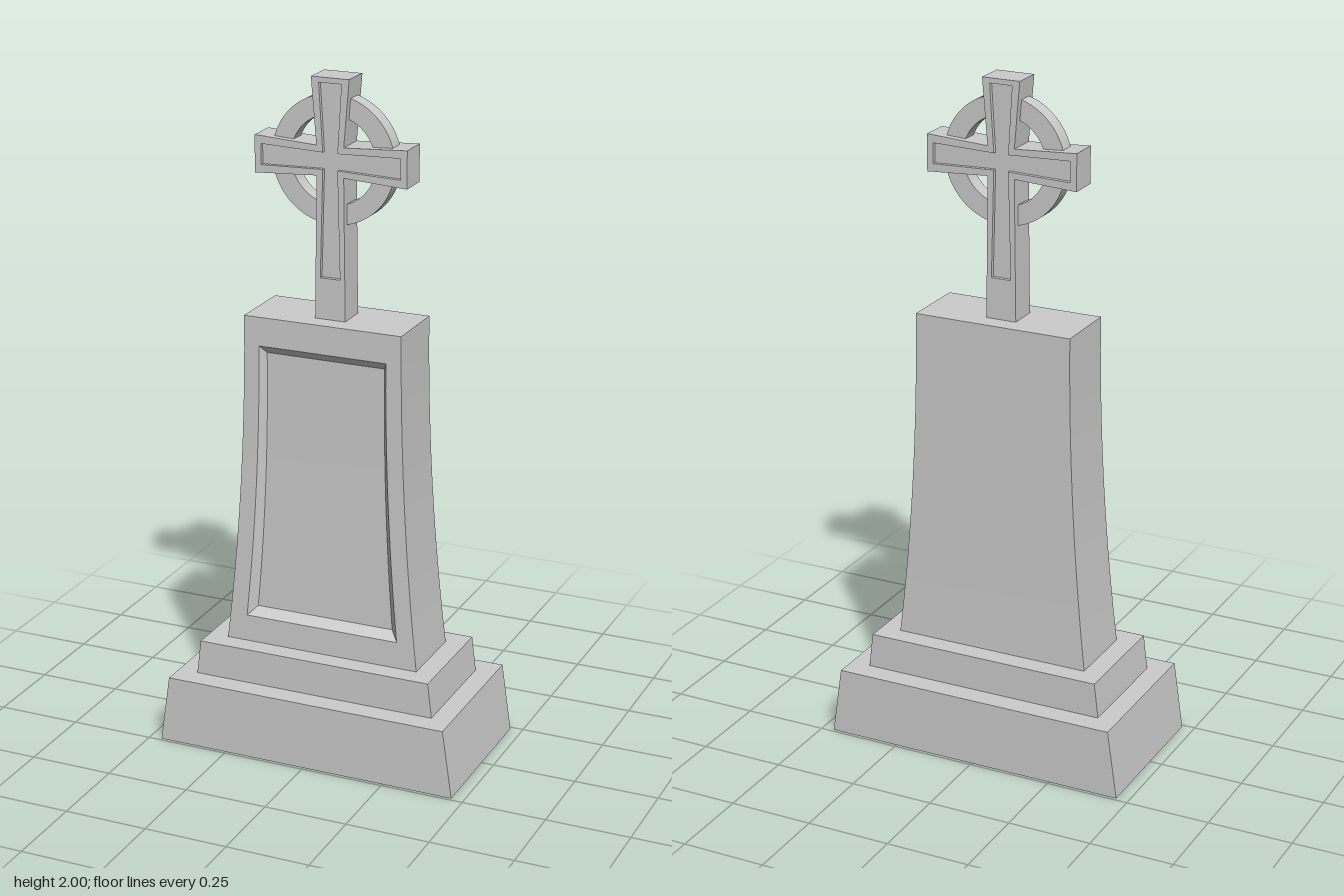
import * as THREE from 'three';
import { toCreasedNormals } from 'three/addons/utils/BufferGeometryUtils.js';

const stone = new THREE.MeshStandardMaterial({ color: 0xcccccc });

function part(name, geometry) {
  const mesh = new THREE.Mesh(toCreasedNormals(geometry, 0.5), stone);
  mesh.name = name;
  return mesh;
}

const shapeOf = (pts) => new THREE.Shape(pts.map(([x, y]) => new THREE.Vector2(x, y)));

// Extrusion centred on z = 0
function slab(shape, halfDepth) {
  const g = new THREE.ExtrudeGeometry(shape, { depth: 2 * halfDepth, bevelEnabled: false, curveSegments: 48 });
  return g.translate(0, 0, -halfDepth);
}

// Plinth block whose ends lean inwards
const plinth = (y0, y1, w0, w1, halfDepth) =>
  slab(shapeOf([[-w0, y0], [w0, y0], [w1, y1], [-w1, y1]]), halfDepth);

// Pillar: closed outlines lofted from the back, over the front frame, into the recessed panel
const BOTTOM = 0.31, TOP = 1.31, ROWS = 10;
const flare = (y) => ((TOP - y) / (TOP - BOTTOM)) ** 2;
const pillarWidth = (y) => 0.24 + 0.06 * flare(y);
const pillarDepth = (y) => 0.103 + 0.011 * flare(y);

function outline(y0, y1, inset0, inset1, zOf) {
  const right = [];
  for (let k = 0; k <= ROWS; k++) {
    const t = k / ROWS, y = y0 + (y1 - y0) * t;
    right.push([pillarWidth(y) - inset0 - (inset1 - inset0) * t, y, zOf(y)]);
  }
  return [...right, ...right.map(([x, y, z]) => [-x, y, z]).reverse()];
}

function pillarGeometry() {
  const rings = [
    outline(BOTTOM, TOP, 0, 0, (y) => -pillarDepth(y)),
    outline(BOTTOM, TOP, 0, 0, pillarDepth),
    outline(0.39, 1.225, 0.053, 0.046, pillarDepth),
    outline(0.415, 1.2, 0.075, 0.06, (y) => pillarDepth(y) - 0.025),
  ];
  const n = rings[0].length, last = (rings.length - 1) * n, index = [];
  const quad = (a, b, c, d) => index.push(a, b, c, a, c, d);
  for (let i = 0; i < rings.length - 1; i++) {
    for (let j = 0; j < n; j++) {
      const k = (j + 1) % n;
      quad(i * n + j, i * n + k, (i + 1) * n + k, (i + 1) * n + j);
    }
  }
  // Back face and recessed panel
  for (let k = 0; k < ROWS; k++) {
    const l = n - 1 - k;
    quad(k, l, l - 1, k + 1);
    quad(last + l, last + k, last + k + 1, last + l - 1);
  }
  const g = new THREE.BufferGeometry();
  g.setAttribute('position', new THREE.Float32BufferAttribute(rings.flat(2), 3));
  g.setIndex(index);
  g.computeVertexNormals();
  return g;
}

// Cross outline with flared arms around height C
const C = 1.766;
function crossPoints({ top, topHalf, neck, arm, armHalf, armNeck, foot, footHalf }) {
  const right = [
    [footHalf, foot], [neck, C - armNeck], [arm, C - armHalf],
    [arm, C + armHalf], [neck, C + armNeck], [topHalf, top],
  ];
  return [...right, ...right.map(([x, y]) => [-x, y]).reverse()];
}

export function createModel() {
  const model = new THREE.Group();
  model.name = 'graveMonument';

  model.add(part('basePlinth', plinth(0, 0.205, 0.463, 0.433, 0.241)));
  model.add(part('upperStep', plinth(0.205, 0.31, 0.373, 0.36, 0.175)));
  model.add(part('pillar', pillarGeometry()));

  const cross = new THREE.Group();
  cross.name = 'cross';
  const rim = shapeOf(crossPoints({
    top: 2, topHalf: 0.057, neck: 0.041, arm: 0.229, armHalf: 0.054, armNeck: 0.043, foot: TOP, footHalf: 0.046,
  }));
  const inset = crossPoints({
    top: 1.985, topHalf: 0.034, neck: 0.022, arm: 0.21, armHalf: 0.03, armNeck: 0.024, foot: 1.43, footHalf: 0.03,
  });
  rim.holes.push(shapeOf(inset));
  cross.add(part('crossRim', slab(rim, 0.045)));

  // Sunken faces, front and back
  for (const side of [1, -1]) {
    const face = part(side > 0 ? 'frontInset' : 'backInset', new THREE.ShapeGeometry(shapeOf(inset)));
    face.position.z = side * 0.033;
    if (side < 0) face.rotation.y = Math.PI;
    cross.add(face);
  }

  // Ring behind the arms
  const ring = new THREE.Shape().absarc(0, C, 0.185, 0, Math.PI * 2);
  ring.holes.push(new THREE.Path().absarc(0, C, 0.128, 0, Math.PI * 2));
  cross.add(part('ring', slab(ring, 0.024)));

  model.add(cross);
  return model;
}
